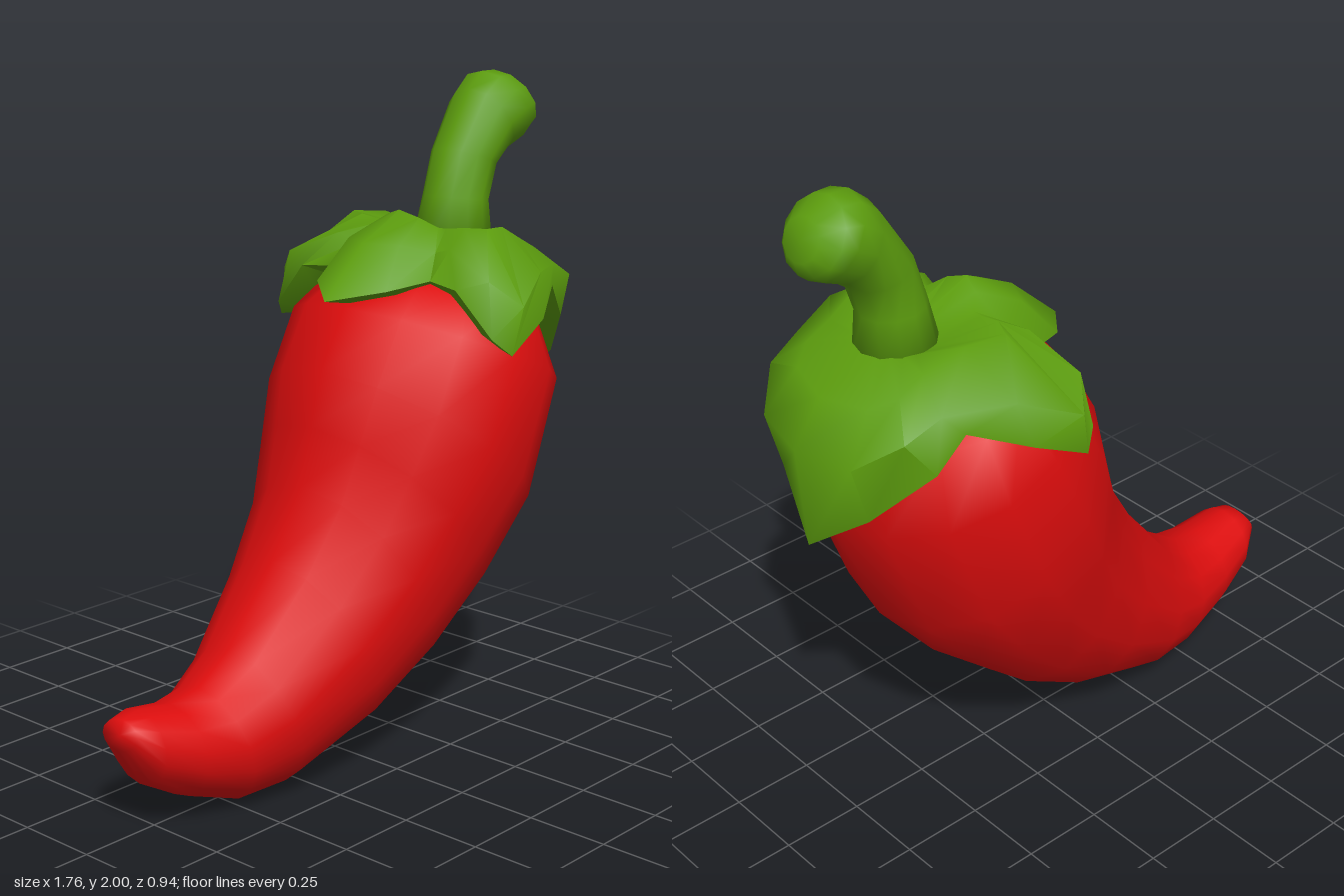
import * as THREE from 'three';
import { mergeVertices, toCreasedNormals } from 'three/addons/utils/BufferGeometryUtils.js';

// Skin a sequence of closed rings (each a list of [x, y, z]).
function skin(rings) {
  const n = rings[0].length, index = [];
  for (let i = 0; i < rings.length - 1; i++) {
    for (let j = 0; j < n; j++) {
      const a = i * n + j, b = i * n + (j + 1) % n;
      index.push(a, b, b + n, a, b + n, a + n);
    }
  }
  const geometry = new THREE.BufferGeometry();
  geometry.setAttribute('position', new THREE.Float32BufferAttribute(rings.flat(2), 3));
  geometry.setIndex(index);
  const merged = mergeVertices(geometry, 1e-4);
  merged.computeVertexNormals();
  return merged;
}

// Elliptical sections: [upper x, upper y, lower x, lower y, half width], closed at both ends.
function loft(sections, sides) {
  const closed = [sections[0], ...sections, sections.at(-1)];
  return skin(closed.map(([ax, ay, bx, by, w], i) => {
    const r = i === 0 || i === closed.length - 1 ? 0 : 1;
    return Array.from({ length: sides }, (_, j) => {
      const t = j / sides * Math.PI * 2, c = Math.cos(t) * r / 2;
      return [(ax + bx) / 2 + (ax - bx) * c, (ay + by) / 2 + (ay - by) * c, Math.sin(t) * w * r];
    });
  }));
}

// Leafy cap: shoulder, bend and edge points from the +x lobe round to the -x lobe, then mirrored.
function calyxGeometry() {
  const half = [
    [[0.79, 1.44, 0], [0.88, 1.31, 0], [0.855, 1.0, 0]],
    [[0.75, 1.45, 0.15], [0.84, 1.32, 0.19], [0.79, 1.14, 0.19]],
    [[0.68, 1.48, 0.2], [0.74, 1.4, 0.29], [0.66, 1.29, 0.32]],
    [[0.6, 1.52, 0.2], [0.63, 1.45, 0.31], [0.58, 1.395, 0.345]],
    [[0.48, 1.57, 0.23], [0.45, 1.46, 0.4], [0.42, 1.33, 0.435]],
    [[0.37, 1.58, 0.26], [0.28, 1.39, 0.47], [0.25, 1.25, 0.455]],
    [[0.34, 1.58, 0.2], [0.22, 1.46, 0.39], [0.2, 1.3, 0.42]],
    [[0.34, 1.57, 0.13], [0.25, 1.53, 0.22], [0.18, 1.43, 0.3]],
    [[0.34, 1.57, 0.1], [0.27, 1.51, 0.15], [0.2, 1.44, 0.19]],
    [[0.3, 1.6, 0.06], [0.17, 1.54, 0.1], [0.07, 1.42, 0.135]],
    [[0.28, 1.62, 0], [0.12, 1.54, 0], [-0.045, 1.39, 0]]
  ];
  const core = [0.45, 1.3, 0];
  const full = half.map((points, i) => {
    const t = i / (half.length - 1) * Math.PI, edge = points[2];
    const inner = [0.52 + Math.cos(t) * 0.11, 1.525, Math.sin(t) * 0.12];
    // The rim turns under and runs into the flesh
    const under = edge.map((v, k) => v + (core[k] - v) * 0.3);
    return [[0.53, 1.5, 0], inner, ...points, under];
  });
  const mirrored = full.slice(1, -1).reverse().map(p => p.map(([x, y, z]) => [x, y, -z]));
  const profiles = [...full, ...mirrored];
  const rings = full[0].map((_, k) => profiles.map(p => p[k]));
  return toCreasedNormals(skin(rings), 1.1);
}

export function createModel() {
  const red = new THREE.MeshStandardMaterial({ color: 0xdc0d0d });
  red.name = 'pepper red';
  const green = new THREE.MeshStandardMaterial({ color: 0x5c9c0e });
  green.name = 'stalk green';

  const group = new THREE.Group();
  group.name = 'chilliPepper';
  const add = (name, geometry, material) => {
    const mesh = new THREE.Mesh(geometry, material);
    mesh.name = name;
    group.add(mesh);
  };

  // Curved fruit from the tip up to the shoulders
  add('fruit', loft([
    [-0.855, 0.35, -0.88, 0.27, 0.07],
    [-0.8, 0.365, -0.8, 0.145, 0.115],
    [-0.68, 0.345, -0.67, 0.07, 0.147],
    [-0.57, 0.36, -0.49, 0.003, 0.18],
    [-0.45, 0.44, -0.31, 0.003, 0.22],
    [-0.27, 0.66, -0.02, 0.1, 0.285],
    [-0.15, 0.86, 0.22, 0.24, 0.335],
    [-0.105, 1.03, 0.44, 0.43, 0.385],
    [-0.06, 1.19, 0.63, 0.66, 0.43],
    [0.04, 1.36, 0.77, 1.04, 0.425],
    [0.18, 1.44, 0.7, 1.27, 0.34],
    [0.34, 1.46, 0.6, 1.39, 0.17]
  ], 14), red);

  add('calyx', calyxGeometry(), green);

  // Bent stalk with a swollen end
  add('stalk', loft([
    [0.41, 1.5, 0.65, 1.47, 0.125],
    [0.445, 1.64, 0.64, 1.62, 0.103],
    [0.49, 1.78, 0.67, 1.715, 0.105],
    [0.6, 1.95, 0.725, 1.755, 0.118],
    [0.66, 2.0, 0.8, 1.785, 0.127],
    [0.72, 2.0, 0.83, 1.81, 0.118],
    [0.79, 1.96, 0.84, 1.85, 0.07]
  ], 12), green);

  return group;
}
